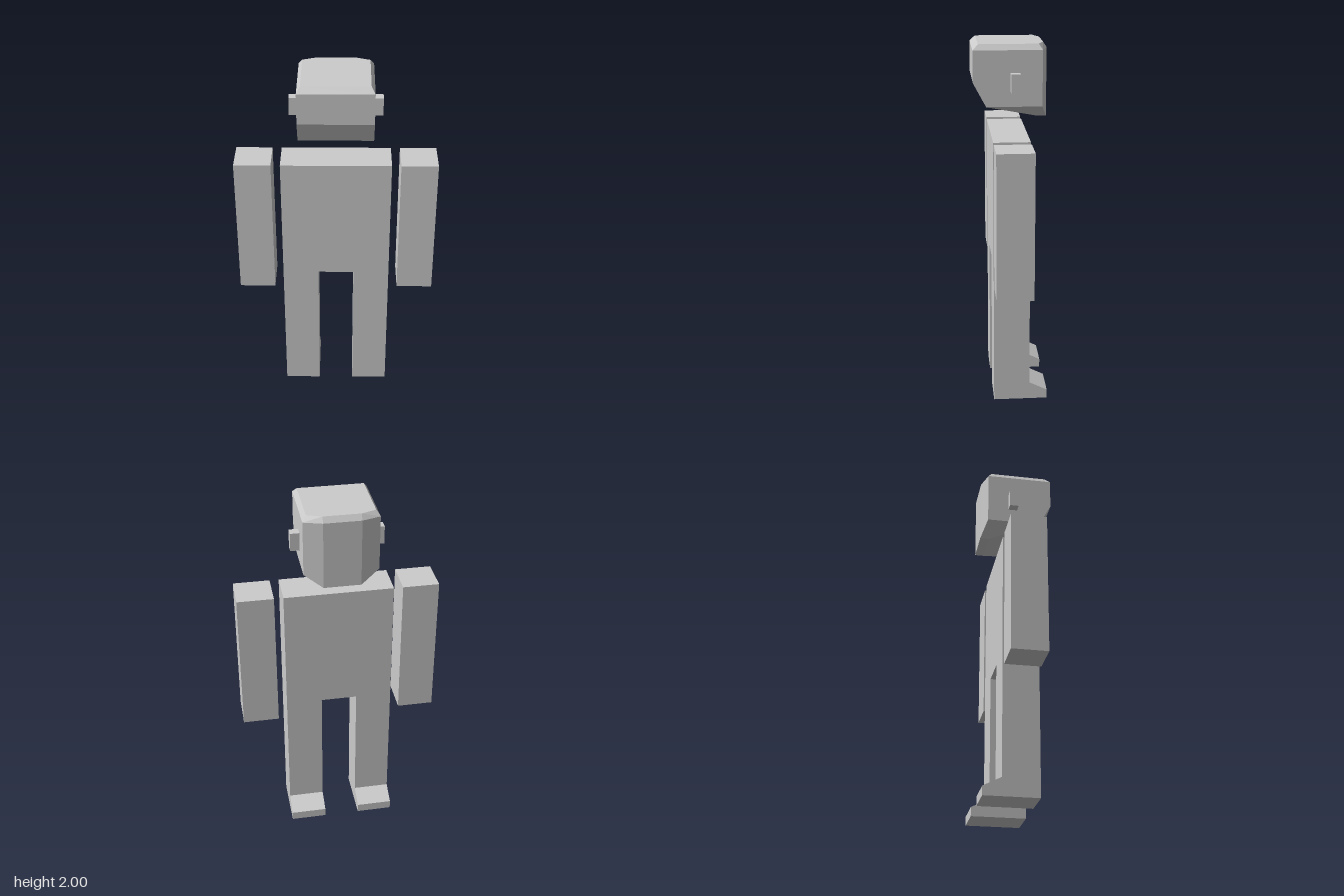
import * as THREE from 'three';
import { ConvexGeometry } from 'three/addons/geometries/ConvexGeometry.js';

const material = new THREE.MeshStandardMaterial({ color: 0xcccccc, flatShading: true });

function add(parent, name, geometry, x = 0, y = 0, z = 0) {
  const mesh = new THREE.Mesh(geometry, material);
  mesh.name = name;
  mesh.position.set(x, y, z);
  parent.add(mesh);
  return mesh;
}

const outline = (points) => new THREE.Shape(points.map(([x, y]) => new THREE.Vector2(x, y)));
const extrude = (points, depth) =>
  new THREE.ExtrudeGeometry(outline(points), { depth, bevelEnabled: false });

export function createModel() {
  const group = new THREE.Group();
  group.name = 'blockFigure';

  // Torso and legs: one flat slab with a notch between the legs
  const body = extrude([
    [-0.3, 0], [-0.1, 0], [-0.1, 0.8], [0.1, 0.8],
    [0.1, 0], [0.3, 0], [0.3, 1.5], [-0.3, 1.5],
  ], 0.2);
  add(group, 'torsoAndLegs', body, 0, 0, -0.1);

  // Foot wedge: profile runs away from the leg, then is turned to point to -z
  const foot = extrude([[0, 0], [0.1, 0], [0.1, 0.05], [0, 0.1]], 0.2);
  foot.rotateY(Math.PI / 2);
  foot.translate(-0.1, 0, 0);

  // Head: chamfered block, widths mirrored in x
  const headHalf = [
    [0.18, 2, 0.17], [0.18, 2, -0.15], [0.1, 2, -0.18],     // crown
    [0.2, 1.97, 0.2], [0.2, 1.97, -0.17], [0.1, 1.97, -0.2], // brow
    [0.2, 1.8, 0.2],                                         // face
    [0.2, 1.67, 0.13], [0.2, 1.67, -0.17],                   // jaw
    [0.1, 1.6, -0.15], [0.1, 1.6, -0.2],                     // underside
  ];
  const headPoints = [1, -1].flatMap((s) =>
    headHalf.map(([x, y, z]) => new THREE.Vector3(s * x, y, z)));
  add(group, 'head', new ConvexGeometry(headPoints));

  // Paired parts
  for (const [side, s] of [['left', 1], ['right', -1]]) {
    add(group, side + 'Arm', new THREE.BoxGeometry(0.2, 0.8, 0.2), s * 0.45, 1.1, 0);
    add(group, side + 'Ear', new THREE.BoxGeometry(0.05, 0.1, 0.05), s * 0.225, 1.8, -0.025);
    add(group, side + 'Foot', foot, s * 0.2, 0, -0.1);
  }
  return group;
}
